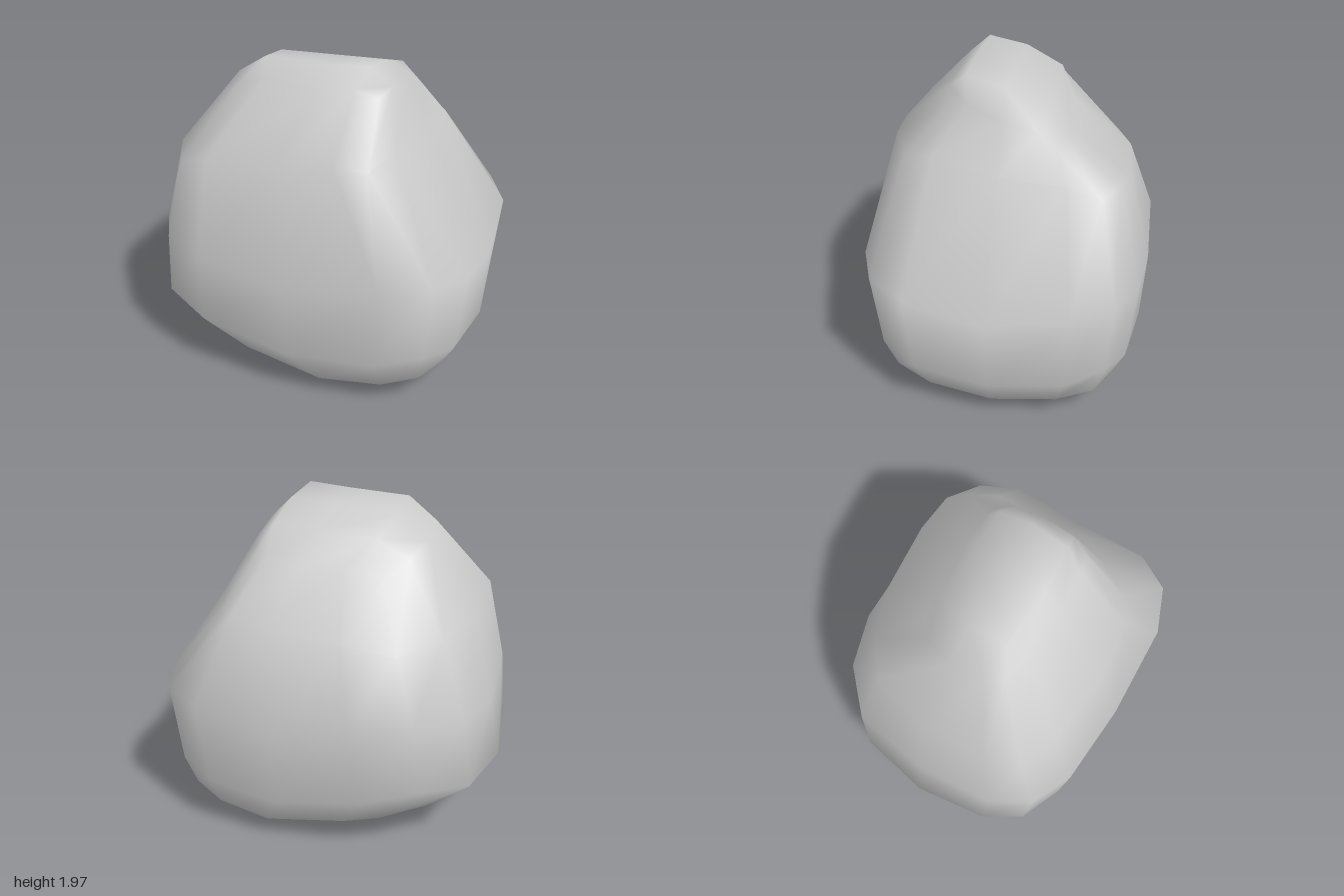
import * as THREE from 'three';
import { mergeVertices } from 'three/addons/utils/BufferGeometryUtils.js';

// Five levels from the bottom to the top: centre x, half-widths to each side, half-depths,
// x skew towards the back, height tilt to the front, height roll to the left,
// ridge raising both sides, corner raising all four corners, lift of the right underside
const LEVELS = [
  { cx: 0.17, right: 1.06, left: 0.81, front: 0.83, back: 0.83, skew: 0, tilt: 0, roll: 0, ridge: 0, corner: 0, lift: 0.085 },
  { cx: 0, right: 1.03, left: 1.0, front: 0.83, back: 0.83, skew: 0, tilt: 0, roll: 0, ridge: 0, corner: 0, lift: 0.1 },
  { cx: 0, right: 0.93, left: 1.0, front: 0.83, back: 0.83, skew: 0, tilt: 0, roll: 0, ridge: 0, corner: 0.17, lift: 0 },
  { cx: 0, right: 0.84, left: 0.59, front: 0.72, back: 0.72, skew: 0.1, tilt: 0.06, roll: 0.08, ridge: 0, corner: 0.12, lift: 0 },
  { cx: 0.07, right: 0.7, left: 0.47, front: 0.43, back: 0.42, skew: 0.1, tilt: 0.12, roll: 0.025, ridge: 0.055, corner: 0.15, lift: 0 },
];
const MID = 0.81;
const TOP = 1.11;
const POWER = 3.8;

// Pushes a point of the cube onto a rounded cube with blunted corners
function roundCube(p) {
  for (const k of ['x', 'y', 'z']) if (Math.abs(p[k]) === 0.5) p[k] *= 1.16;
  const sum = Math.abs(p.x) ** POWER + Math.abs(p.y) ** POWER + Math.abs(p.z) ** POWER;
  p.multiplyScalar(sum ** (-1 / POWER));
  return p.multiplyScalar(1 - 0.11 * Math.abs(p.x * p.y * p.z));
}

// Tapers, tilts and undercuts the rounded cube level by level
function shapeRock(p) {
  const l = LEVELS[Math.round((p.y + 1) * 2)];
  const u = roundCube(p).clone();
  const z = u.z * (u.z > 0 ? l.front : l.back);
  let x = l.cx + u.x * (u.x > 0 ? l.left : l.right) - l.skew * z;
  // worn corner at the back right
  if (u.z < 0) x += 0.16 * u.z ** 4 * (1 - u.x);
  const y = MID + u.y * (u.y > 0 ? TOP : MID) + l.tilt * u.z + l.roll * u.x
    + l.ridge * Math.abs(u.x) + l.corner * Math.abs(u.x * u.z) + l.lift * Math.max(0, -u.x);
  return p.set(x, y, z);
}

export function createModel() {
  const group = new THREE.Group();
  group.name = 'rock';

  let geometry = new THREE.BoxGeometry(2, 2, 2, 4, 4, 4);
  geometry.deleteAttribute('uv');
  geometry.deleteAttribute('normal');
  geometry = mergeVertices(geometry);

  const pos = geometry.attributes.position;
  const p = new THREE.Vector3();
  for (let i = 0; i < pos.count; i++) {
    shapeRock(p.fromBufferAttribute(pos, i));
    pos.setXYZ(i, p.x, p.y, p.z);
  }
  geometry.computeVertexNormals();

  const boulder = new THREE.Mesh(geometry, new THREE.MeshStandardMaterial({ color: 0xcccccc }));
  boulder.name = 'boulder';
  group.add(boulder);
  return group;
}
